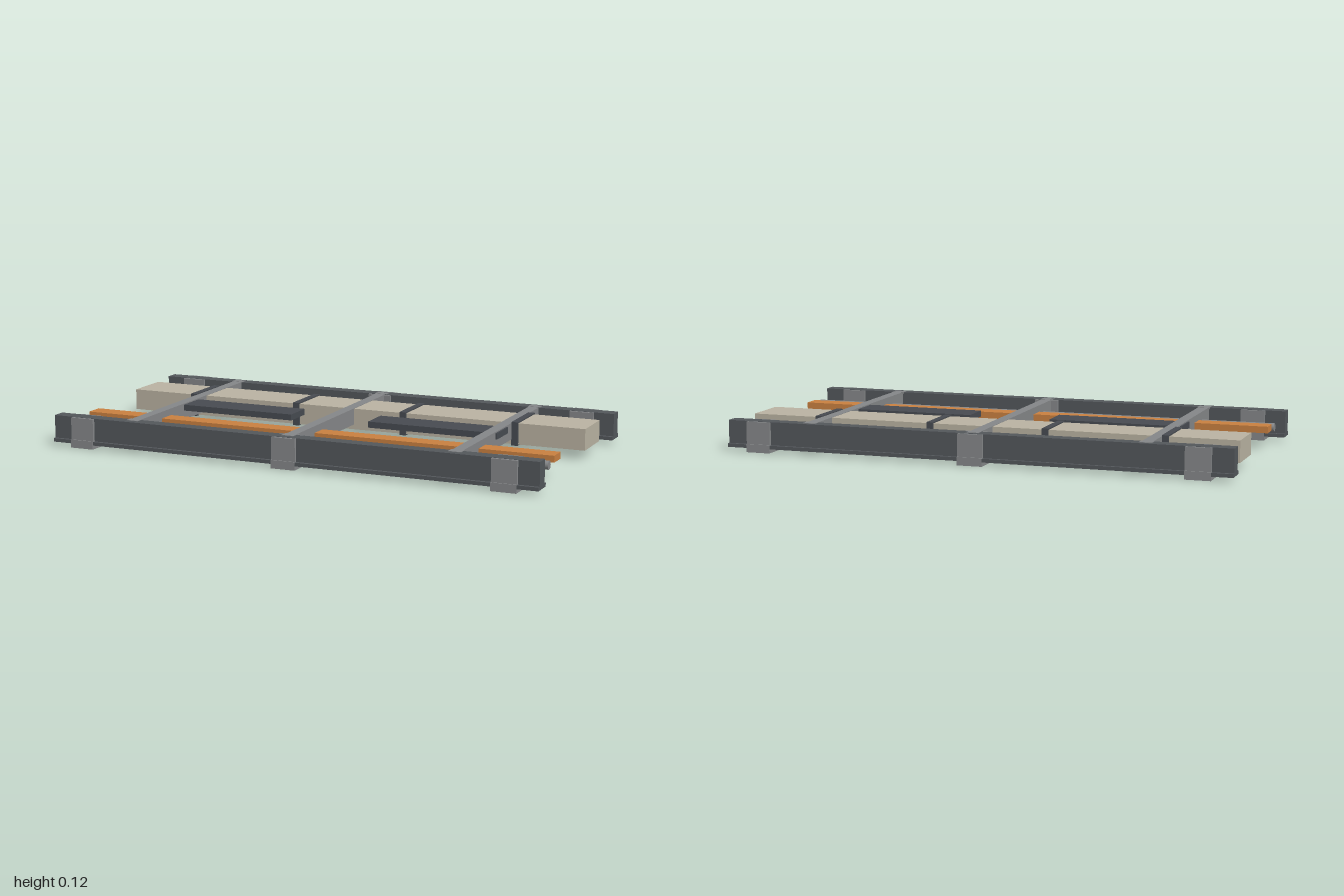
import * as THREE from 'three';

const mat = (name, color) => {
  const m = new THREE.MeshStandardMaterial({ color });
  m.name = name;
  return m;
};

export function createModel() {
  const root = new THREE.Group();
  root.name = 'ceilingServiceModule';
  const railDark = mat('darkRail', 0x53575b);
  const steel = mat('greySteel', 0x858789);
  const beige = mat('beigeDuct', 0xbab3a2);
  const dark = mat('darkTrim', 0x474b51);
  const orange = mat('orangeTray', 0xc98040);
  const amber = mat('amberLens', 0xb08c50);

  // Box given by its limits on each axis
  const box = (name, m, [x0, x1], [y0, y1], [z0, z1]) => {
    const mesh = new THREE.Mesh(new THREE.BoxGeometry(x1 - x0, y1 - y0, z1 - z0), m);
    mesh.position.set((x0 + x1) / 2, (y0 + y1) / 2, (z0 + z1) / 2);
    mesh.name = name;
    root.add(mesh);
    return mesh;
  };
  const around = (c, w) => [c - w / 2, c + w / 2];

  // Side rails: web on a wider foot flange, gripped by collars
  for (const s of [-1, 1]) {
    const z = s * 0.459;
    box('railWeb', railDark, [-1, 1], [0.028, 0.12], around(z, 0.055));
    box('railFlange', railDark, [-1, 1], [0.016, 0.03], around(z, 0.082));
    for (const x of [-0.87, 0, 0.87]) {
      box('collar', steel, around(x, 0.098), [0.025, 0.119], around(z, 0.078));
      box('collarFoot', steel, around(x, 0.098), [0, 0.032], around(z, 0.088));
    }
  }

  // Cross beams with slightly wider end plates
  for (const x of [-0.667, 0, 0.667]) {
    box('crossBeam', steel, around(x, 0.042), [0.055, 0.1205], [-0.47, 0.46]);
    for (const z of [-0.452, 0.442])
      box('beamEndPlate', steel, around(x, 0.05), [0.114, 0.1215], around(z, 0.036));
  }

  // Air duct, its straps and the grilles beneath
  box('airDuct', beige, [-0.98, 0.98], [0.035, 0.119], [-0.303, -0.115]);
  for (const x of [-0.7, -0.233, 0.233, 0.7])
    box('ductStrap', dark, around(x, 0.026), [0.031, 0.124], [-0.31, -0.106]);
  for (const x of [-0.45, 0.45])
    box('ductGrille', dark, around(x, 0.2), [0.026, 0.0355], [-0.265, -0.188]);

  // Light panels with four lenses on the underside
  for (const s of [-1, 1]) {
    box('lightPanel', dark, around(s * 0.43, 0.53), [0.092, 0.116], [-0.045, 0.08]);
    for (let i = 0; i < 4; i++)
      box('lens', amber, around(s * 0.43 + (i - 1.5) * 0.125, 0.11), [0.089, 0.093], around(0.0175, 0.098));
  }

  // Cable tray and pipe
  box('cableTray', orange, [-0.98, 0.98], [0.068, 0.094], [0.189, 0.263]);
  const pipe = new THREE.Mesh(new THREE.CylinderGeometry(0.017, 0.017, 1.96, 16), steel);
  pipe.rotation.z = Math.PI / 2;
  pipe.position.set(0, 0.071, 0.32);
  pipe.name = 'pipe';
  root.add(pipe);

  return root;
}
